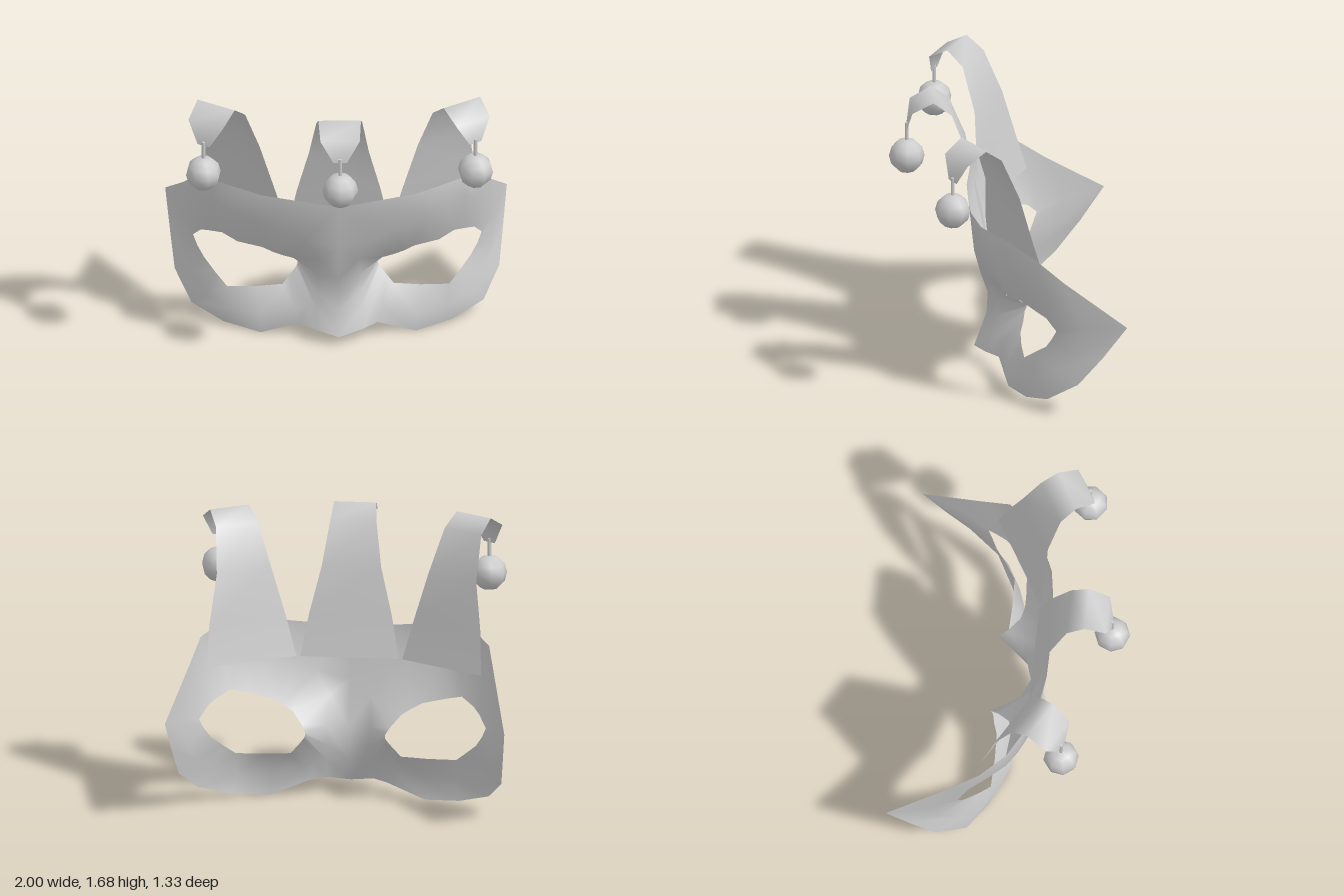
import * as THREE from 'three';
import { mergeVertices } from 'three/addons/utils/BufferGeometryUtils.js';

const material = new THREE.MeshStandardMaterial({ color: 0xcccccc, side: THREE.DoubleSide });

// Three matching loops for one half of the mask, from the top centre outwards,
// round the temple, along the cheek and back up the nose.
const rim = [
  [0, .96, .2], [.2, 1, .2], [.45, 1.025, .16], [.6, 1.04, .09], [.73, 1.05, .02],
  [.85, .985, -.13], [.9, .85, -.3], [1, .6, -.66], [.975, .4, -.52], [.95, .22, -.375],
  [.855, .09, -.2], [.67, .025, -.09], [.455, 0, 0], [.23, .085, .04], [.14, .085, .12],
  [0, .06, .17], [0, .2, .1], [0, .4, .09], [0, .67, .17],
];
const ridge = [
  [.2, .72, .165], [.32, .79, .17], [.5, .85, .14], [.64, .88, .08], [.75, .93, .02],
  [.82, .84, -.1], [.86, .74, -.21], [.925, .56, -.41], [.9, .38, -.35], [.86, .28, -.25],
  [.77, .18, -.13], [.64, .14, -.05], [.46, .13, .02], [.26, .18, .02], [.19, .2, .05],
  [.13, .2, .08], [.12, .3, .06], [.13, .42, .04], [.12, .58, .14],
];
const eye = [
  [.32, .515, -.01], [.38, .55, .01], [.445, .585, .01], [.59, .62, 0], [.68, .65, -.055],
  [.76, .615, -.14], [.8, .585, -.2], [.845, .52, -.255], [.82, .46, -.23], [.78, .395, -.2],
  [.72, .335, -.14], [.65, .27, -.08], [.48, .27, -.075], [.325, .28, -.08], [.28, .335, -.1],
  [.245, .38, -.11], [.235, .4, -.12], [.235, .42, -.125], [.26, .455, -.08],
];

function surface(positions, indices) {
  let g = new THREE.BufferGeometry();
  g.setAttribute('position', new THREE.Float32BufferAttribute(positions, 3));
  g.setIndex(indices);
  g = mergeVertices(g, 1e-4);
  g.computeVertexNormals();
  return g;
}

// Both mirrored halves, welded along the centre line
function maskGeometry() {
  const positions = [], indices = [];
  const n = rim.length;
  for (const side of [1, -1]) {
    const base = positions.length / 3;
    for (const loop of [rim, ridge, eye]) {
      for (const [x, y, z] of loop) positions.push(x * side, y, z);
    }
    for (let r = 0; r < 2; r++) {
      for (let k = 0; k < n; k++) {
        const k2 = (k + 1) % n;
        const a = base + r * n + k, b = base + r * n + k2;
        const d = a + n, c = b + n;
        if (side > 0) indices.push(a, d, c, a, c, b);
        else indices.push(a, c, d, a, b, c);
      }
    }
  }
  return surface(positions, indices);
}

// Tapered ribbon through stations of [z, y, half width]
function ribbonGeometry(stations) {
  const positions = [], indices = [];
  stations.forEach(([z, y, w], i) => {
    positions.push(-w, y, z, w, y, z);
    if (i > 0) {
      const a = 2 * i - 2;
      indices.push(a, a + 2, a + 1, a + 1, a + 2, a + 3);
    }
  });
  return surface(positions, indices);
}

function addMesh(parent, name, geometry, y = 0, z = 0) {
  const mesh = new THREE.Mesh(geometry, material);
  mesh.name = name;
  mesh.position.set(0, y, z);
  parent.add(mesh);
}

// One curled point with its hanging bell; z = 0 is the foot of the ribbon
function crownPoint(name) {
  const g = new THREE.Group();
  g.name = name;
  addMesh(g, 'ribbon', ribbonGeometry([
    [0, .82, .29], [.055, 1.06, .245], [.105, 1.345, .175], [.205, 1.6, .135],
    [.31, 1.68, .125], [.435, 1.61, .115], [.46, 1.48, .04],
  ]));
  addMesh(g, 'bellString', new THREE.CylinderGeometry(.011, .011, .13, 6), 1.44, .46);
  addMesh(g, 'bell', new THREE.SphereGeometry(.105, 8, 6), 1.295, .46);
  return g;
}

export function createModel() {
  const model = new THREE.Group();
  model.name = 'jesterMask';
  addMesh(model, 'mask', maskGeometry());

  const centre = crownPoint('centrePoint');
  centre.position.z = .105;
  model.add(centre);

  // Outer points, turned to follow the brow
  for (const side of [1, -1]) {
    const point = crownPoint(side > 0 ? 'leftPoint' : 'rightPoint');
    point.position.set(side * .56, 0, -.045);
    point.rotation.y = side * .54;
    model.add(point);
  }
  return model;
}
